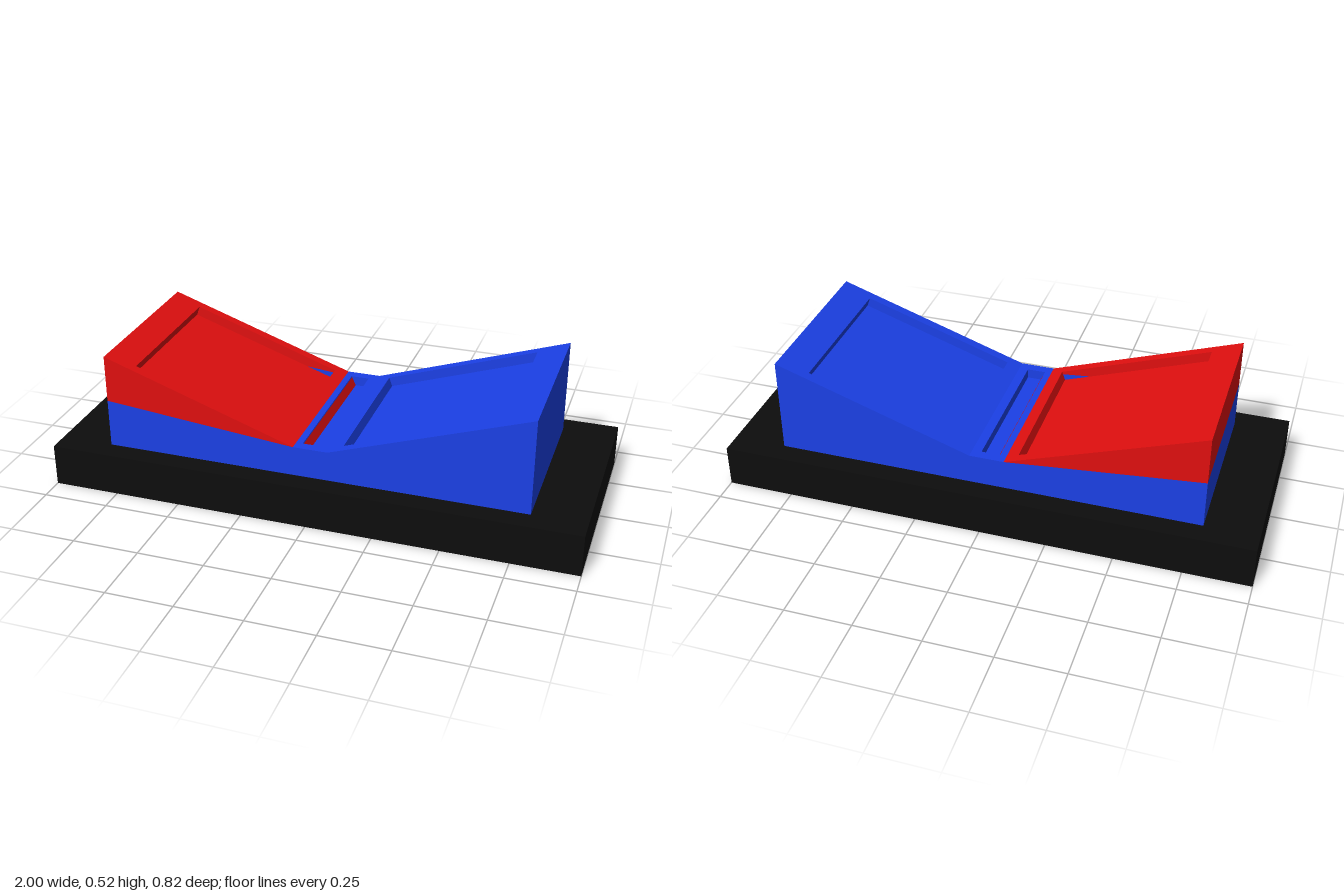
import * as THREE from 'three';

const RED = 0xe00f0f, BLUE = 0x1b40e6, BLACK = 0x0d0d0d;
const HALF = 0.327;   // half depth of the body
const INNER = 0.29;   // half depth of the recesses
const PANEL_DEPTH = 0.037;

const mat = (color) => new THREE.MeshStandardMaterial({ color });

// Extrude a profile in x, y between two z positions
function slab(name, points, z0, z1, color) {
  const shape = new THREE.Shape(points.map(([x, y]) => new THREE.Vector2(x, y)));
  const geo = new THREE.ExtrudeGeometry(shape, { depth: z1 - z0, bevelEnabled: false });
  geo.translate(0, 0, z0);
  const mesh = new THREE.Mesh(geo, mat(color));
  mesh.name = name;
  return mesh;
}

// Profile points of a recess cut square into the slope a-b, from x0 to x1
function recess(a, b, x0, x1) {
  const dx = b[0] - a[0], dy = b[1] - a[1], len = Math.hypot(dx, dy);
  const inX = (dy / len) * PANEL_DEPTH, inY = (-dx / len) * PANEL_DEPTH;
  const at = (x) => [x, a[1] + (dy * (x - a[0])) / dx];
  const p = at(x0), q = at(x1);
  return [p, [p[0] + inX, p[1] + inY], [q[0] + inX, q[1] + inY], q];
}

export function createModel() {
  const model = new THREE.Group();
  model.name = 'rampBlock';

  // Base plate
  const base = new THREE.Mesh(new THREE.BoxGeometry(2, 0.16, 0.816), mat(BLACK));
  base.name = 'basePlate';
  base.position.y = 0.08;
  model.add(base);

  // Corners of the body profile
  const bottomL = [-0.8, 0.16], bottomR = [0.8, 0.16];
  const seamL = [-0.8, 0.345], topL = [-0.8, 0.525], topR = [0.8, 0.525];
  const valleyL = [-0.07, 0.275], valleyR = [0.06, 0.275];

  // Solid side rails in front of and behind the recesses
  for (const [side, z0, z1] of [['front', INNER, HALF], ['back', -HALF, -INNER]]) {
    model.add(slab(side + 'BlueRail', [bottomL, bottomR, topR, valleyR, valleyL, seamL], z0, z1, BLUE));
    model.add(slab(side + 'RedRail', [seamL, valleyL, topL], z0, z1, RED));
  }

  // Middle section with the recessed panels and the valley slot
  const underL = [-0.3, 0.2], underR = [-0.07, 0.2];
  model.add(slab('redPanel',
    [seamL, underL, underR, valleyL, ...recess(topL, valleyL, -0.69, -0.115).reverse(), topL],
    -INNER, INNER, RED));
  const slot = [[0.025, 0.275], [0.025, 0.238], [-0.03, 0.238], [-0.045, 0.275]];
  model.add(slab('bluePanel',
    [bottomL, bottomR, topR, ...recess(valleyR, topR, 0.11, 0.685).reverse(), valleyR,
      ...slot, valleyL, underR, underL, seamL],
    -INNER, INNER, BLUE));

  // Red lining on the slanted wall of the slot
  model.add(slab('slotLining',
    [[-0.045, 0.2745], [-0.045, 0.238], [-0.028, 0.238]],
    -INNER, INNER, RED));

  return model;
}
